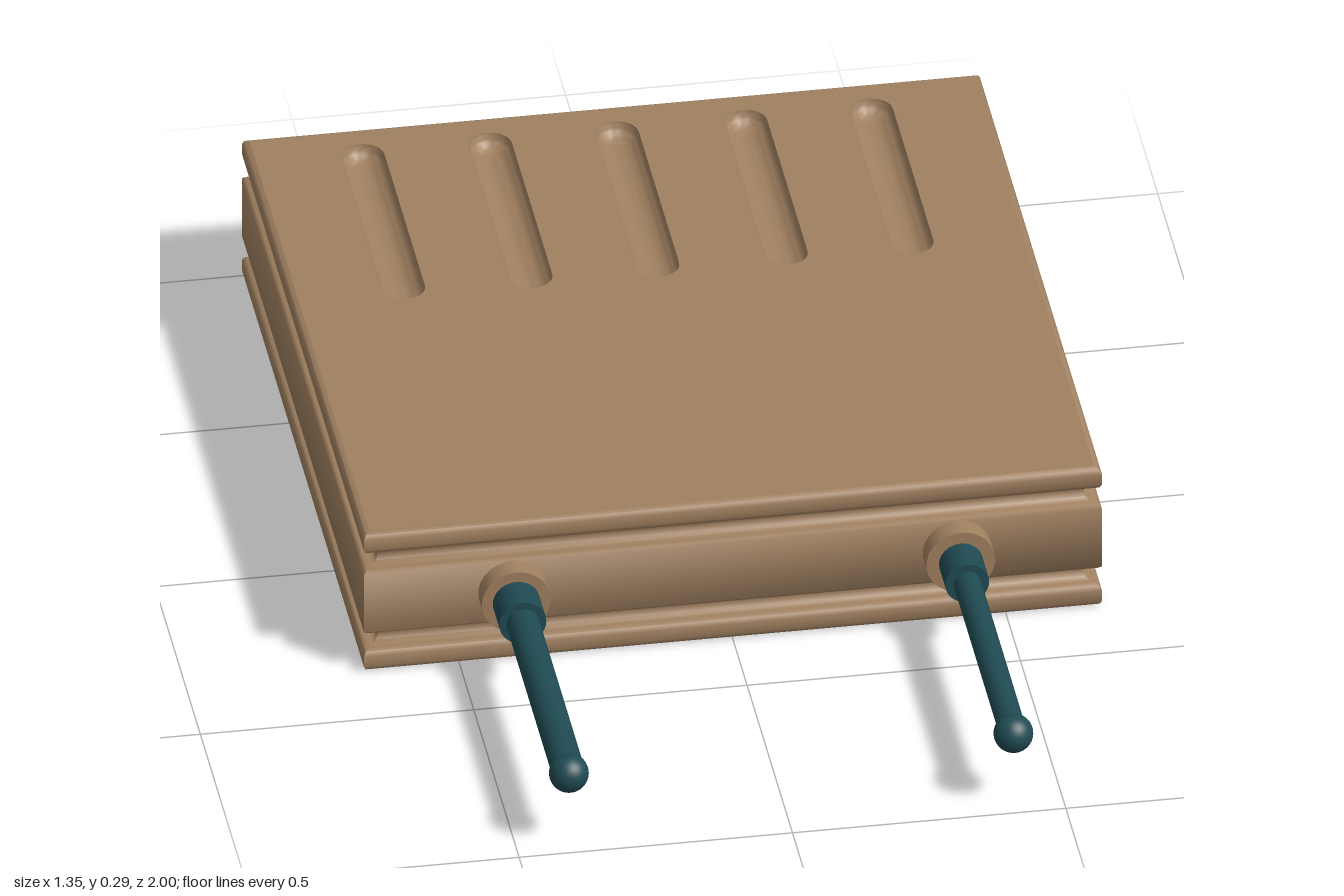
import * as THREE from 'three';
import { toCreasedNormals } from 'three/addons/utils/BufferGeometryUtils.js';

const tan = new THREE.MeshStandardMaterial({ color: 0xa08060 });
const teal = new THREE.MeshStandardMaterial({ color: 0x1f4a52 });

const W = 0.675, D = 0.6725, H = 0.295, CZ = -0.3275;
const SLOT_R = 0.04, SLOT_HALF = 0.2225, SLOT_Z = -0.6825, SLOT_DEPTH = 0.03;
const SLOT_X = [-0.47, -0.237, -0.005, 0.23, 0.46];

function mesh(name, geometry, material) {
  const m = new THREE.Mesh(geometry, material);
  m.name = name;
  return m;
}

// Joins closed rings of [x, y, z] points into a skin
function loft(rings, crease) {
  const n = rings[0].length, index = [];
  for (let r = 0; r < rings.length - 1; r++) {
    for (let i = 0; i < n; i++) {
      const a = r * n + i, b = r * n + (i + 1) % n;
      index.push(a, b, b + n, a, b + n, a + n);
    }
  }
  const g = new THREE.BufferGeometry();
  g.setAttribute('position', new THREE.Float32BufferAttribute(rings.flat(2), 3));
  g.setIndex(index);
  return toCreasedNormals(g, crease);
}

const rectRing = (inset, y) => [[1, 1], [1, -1], [-1, -1], [-1, 1]]
  .map(([sx, sz]) => [sx * (W - inset), y, CZ + sz * (D - inset)]);

function slotRing(x, r, y, steps = 12) {
  const ring = [];
  for (const end of [0, 1]) {
    for (let i = 0; i <= steps; i++) {
      const t = Math.PI * (end + i / steps);
      ring.push([x + r * Math.cos(t), y, SLOT_Z + (end ? 1 : -1) * SLOT_HALF - r * Math.sin(t)]);
    }
  }
  return ring;
}

function createBody() {
  const body = new THREE.Group();
  body.name = 'body';

  // Grooved side walls: lower half of the profile, mirrored upward
  const half = [
    [0.012, 0], [0.004, 0.004], [0, 0.012], [0, 0.034], [0.004, 0.042], [0.012, 0.046],
    [0.018, 0.046], [0.026, 0.052], [0.03, 0.0625], [0.026, 0.073], [0.018, 0.079],
    [0.006, 0.08], [0, 0.086],
  ];
  const profile = [...half, ...half.map(([i, y]) => [i, H - y]).reverse()];
  body.add(mesh('sideWalls', loft(profile.map(([i, y]) => rectRing(i, y)), 0.9), tan));

  // Underside
  const bottom = mesh('underside', new THREE.PlaneGeometry(2 * (W - 0.012), 2 * (D - 0.012)), tan);
  bottom.rotation.x = Math.PI / 2;
  bottom.position.z = CZ;
  body.add(bottom);

  // Top face with slot openings
  const toShape = (ring) => ring.map(([x, , z]) => new THREE.Vector2(x, -z));
  const shape = new THREE.Shape(toShape(rectRing(0.012, H)));
  for (const x of SLOT_X) shape.holes.push(new THREE.Path(toShape(slotRing(x, SLOT_R, H))));
  const top = mesh('topFace', new THREE.ShapeGeometry(shape), tan);
  top.rotation.x = -Math.PI / 2;
  top.position.y = H;
  body.add(top);

  // Rounded hollows beneath the openings
  for (const x of SLOT_X) {
    const rings = [];
    for (let i = 0; i <= 8; i++) {
      const a = (i / 8) * Math.PI / 2;
      const r = i === 8 ? 0 : SLOT_R * Math.cos(a);
      rings.push(slotRing(x, r, H - SLOT_DEPTH * Math.sin(a)));
    }
    body.add(mesh('slot', loft(rings, 0.9), tan));
  }
  return body;
}

// Pin pointing forward: boss, collar, rod and ball tip
function createPin(name, x, rodR, collarR) {
  const pin = new THREE.Group();
  pin.name = name;
  pin.position.set(x, 0.148, 0);
  const cyl = (part, r, z0, z1, material) => {
    const g = new THREE.CylinderGeometry(r, r, z1 - z0, 32).rotateX(Math.PI / 2);
    const m = mesh(part, g, material);
    m.position.z = (z0 + z1) / 2;
    pin.add(m);
  };
  cyl('boss', 0.063, 0.33, 0.385, tan);
  cyl('collar', collarR, 0.38, 0.457, teal);
  cyl('rod', rodR, 0.45, 0.965, teal);
  const ball = mesh('ballTip', new THREE.SphereGeometry(0.036, 32, 20), teal);
  ball.position.z = 0.964;
  pin.add(ball);
  return pin;
}

export function createModel() {
  const model = new THREE.Group();
  model.name = 'pluggedBlock';
  model.add(
    createBody(),
    createPin('rightPin', -0.403, 0.03, 0.043),
    createPin('leftPin', 0.41, 0.025, 0.04),
  );
  return model;
}
